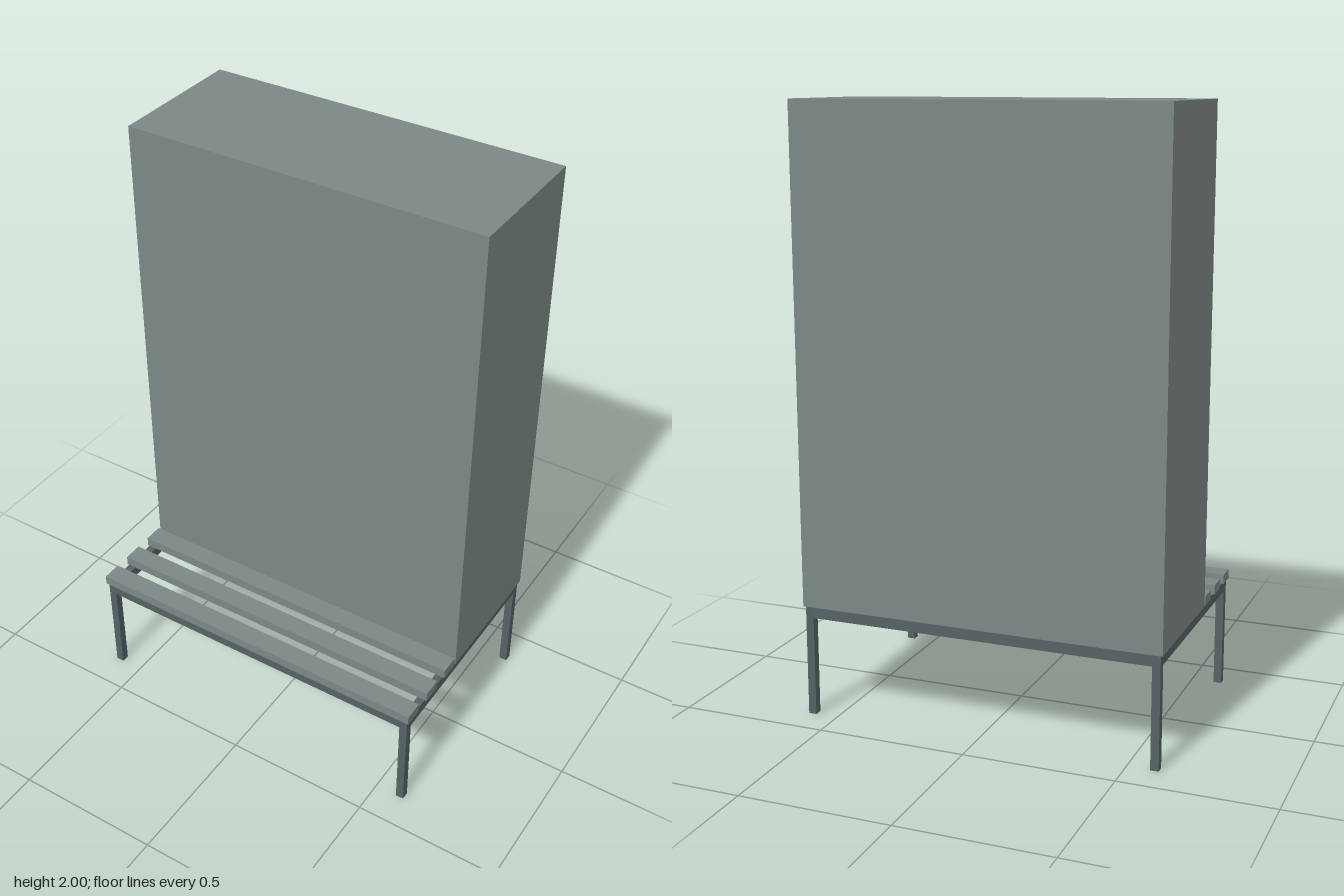
import * as THREE from 'three';

export function createModel() {
  const model = new THREE.Group();
  model.name = 'lockerBench';

  const panelGrey = new THREE.MeshStandardMaterial({ color: 0x7c8886 });
  panelGrey.name = 'panel grey';
  const frameGrey = new THREE.MeshStandardMaterial({ color: 0x566165 });
  frameGrey.name = 'frame grey';

  // Box given by its minimum and maximum corners
  function box(name, material, [x0, y0, z0], [x1, y1, z1], parent = model) {
    const mesh = new THREE.Mesh(new THREE.BoxGeometry(x1 - x0, y1 - y0, z1 - z0), material);
    mesh.position.set((x0 + x1) / 2, (y0 + y1) / 2, (z0 + z1) / 2);
    mesh.name = name;
    parent.add(mesh);
  }

  // Tall cabinet at the back
  box('cabinet', panelGrey, [-0.61, 0.373, -0.396], [0.61, 2, 0.081]);

  // Seat slats along the front
  for (const z of [0.09, 0.21, 0.33]) {
    box('seatSlat', panelGrey, [-0.61, 0.373, z], [0.61, 0.406, z + 0.067]);
  }

  // Square tube frame: legs, side rails, front and back rails
  const frame = new THREE.Group();
  frame.name = 'frame';
  model.add(frame);
  const X = 0.603, Z = 0.391, T = 0.027, bottom = 0.335, top = 0.373;
  for (const s of [-1, 1]) {
    const x0 = s < 0 ? -X : X - T;
    const z0 = s < 0 ? -Z : Z - T;
    box('sideRail', frameGrey, [x0, bottom, -Z], [x0 + T, top, Z], frame);
    box(s < 0 ? 'backRail' : 'frontRail', frameGrey,
      [-X + T, bottom, z0], [X - T, top, z0 + T], frame);
    for (const t of [-1, 1]) {
      const legZ = t < 0 ? -Z : Z - T;
      box('leg', frameGrey, [x0, 0, legZ], [x0 + T, bottom, legZ + T], frame);
    }
  }

  return model;
}
